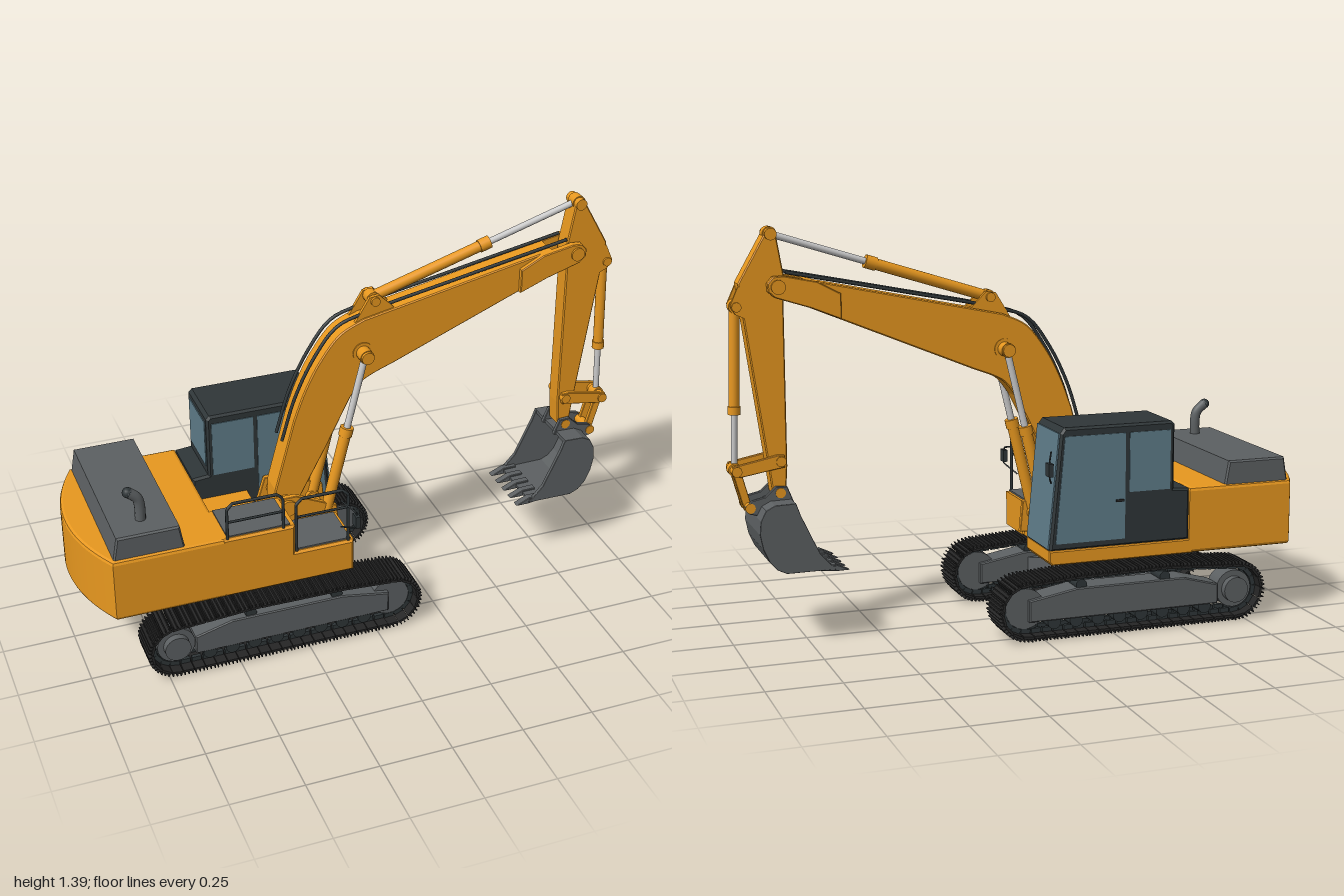
import * as THREE from 'three';
import { mergeGeometries } from 'three/addons/utils/BufferGeometryUtils.js';

const mat = (color) => new THREE.MeshStandardMaterial({ color });
const ORANGE = mat(0xe8981f), GREY = mat(0x5c6062), DARK = mat(0x2f3638), GLASS = mat(0x5f7d8a);
const STEEL = mat(0xbcbcbc), RUBBER = mat(0x262626);
const C = 0.017; // centre plane of the boom and undercarriage

function add(parent, name, geo, material, x = 0, y = 0, z = 0) {
  const m = new THREE.Mesh(geo, material);
  m.name = name;
  m.position.set(x, y, z);
  parent.add(m);
  return m;
}
const group = (parent, name) => {
  const g = new THREE.Group();
  g.name = name;
  parent.add(g);
  return g;
};
// box given by its limits
const box = (p, name, m, x0, x1, y0, y1, z0, z1) =>
  add(p, name, new THREE.BoxGeometry(x1 - x0, y1 - y0, z1 - z0), m, (x0 + x1) / 2, (y0 + y1) / 2, (z0 + z1) / 2);
const poly = (pts) => new THREE.Shape(pts.map(([x, y]) => new THREE.Vector2(x, y)));
// side profile extruded from z0 to z1, with a small bevel
function prism(p, name, m, shape, z0, z1, b = 0.004) {
  const s = Array.isArray(shape) ? poly(shape) : shape;
  const geo = new THREE.ExtrudeGeometry(s, {
    depth: z1 - z0 - 2 * b, bevelEnabled: b > 0, bevelSize: b, bevelThickness: b, bevelOffset: -b, bevelSegments: 1, curveSegments: 12,
  });
  return add(p, name, geo, m, 0, 0, z0 + b);
}
// cylinder along z
const pin = (p, name, m, x, y, r, z0, z1, seg = 20) =>
  add(p, name, new THREE.CylinderGeometry(r, r, z1 - z0, seg).rotateX(Math.PI / 2), m, x, y, (z0 + z1) / 2);
// cylinder between two points of one z plane
function bar(p, name, m, a, b, r, z) {
  const dx = b[0] - a[0], dy = b[1] - a[1];
  const mesh = add(p, name, new THREE.CylinderGeometry(r, r, Math.hypot(dx, dy), 16), m, (a[0] + b[0]) / 2, (a[1] + b[1]) / 2, z);
  mesh.rotation.z = Math.atan2(-dx, dy);
}
// hydraulic cylinder: barrel from a to mid, rod on to b, eyes at both ends
function ram(p, name, a, b, t, r, z) {
  const g = group(p, name), mid = [a[0] + (b[0] - a[0]) * t, a[1] + (b[1] - a[1]) * t];
  const cap = [a[0] + (b[0] - a[0]) * (t - 0.05), a[1] + (b[1] - a[1]) * (t - 0.05)];
  bar(g, 'barrel', ORANGE, a, mid, r, z);
  bar(g, 'barrelCollar', ORANGE, cap, mid, r * 1.2, z);
  bar(g, 'rod', STEEL, mid, b, r * 0.6, z);
  for (const e of [a, b]) pin(g, 'rodEye', ORANGE, e[0], e[1], r * 1.25, z - r, z + r);
}
// bent pipe through points with sharp corners
function pipe(p, name, m, pts, r) {
  const path = new THREE.CurvePath();
  const v = pts.map((q) => new THREE.Vector3(...q));
  for (let i = 1; i < v.length; i++) path.add(new THREE.LineCurve3(v[i - 1], v[i]));
  add(p, name, new THREE.TubeGeometry(path, (v.length - 1) * 8, r, 6), m);
}

function buildTrack(root, zc, side) {
  const g = group(root, side > 0 ? 'leftTrack' : 'rightTrack');
  const R = 0.09, ax = 0.06, bx = -0.715, cy = 0.105;
  const path = new THREE.Path();
  path.absarc(ax, cy, R, -Math.PI / 2, Math.PI / 2, false);
  path.lineTo(-0.12, 0.208);
  path.lineTo(-0.45, 0.212);
  path.lineTo(bx, cy + R);
  path.absarc(bx, cy, R, Math.PI / 2, Math.PI * 1.5, false);
  path.lineTo(ax, cy - R);
  // shoes with three ribs each, and chain links inside
  const N = 54, pts = path.getSpacedPoints(N).slice(0, N), shoes = [], links = [];
  pts.forEach((q, i) => {
    const n = pts[(i + 1) % N], o = pts[(i + N - 1) % N];
    const a = Math.atan2(n.y - o.y, n.x - o.x);
    const place = (list, geo) => list.push(geo.rotateZ(a).translate(q.x, q.y, zc));
    place(shoes, new THREE.BoxGeometry(0.037, 0.008, 0.14));
    for (const k of [-1, 0, 1]) place(shoes, new THREE.BoxGeometry(0.004, 0.013, 0.14).translate(k * 0.014, -0.0085, 0));
    for (const k of [-1, 1]) place(links, new THREE.BoxGeometry(0.033, 0.018, 0.014).translate(0, 0.011, k * 0.024));
  });
  add(g, 'trackShoes', mergeGeometries(shoes), RUBBER);
  add(g, 'trackLinks', mergeGeometries(links), DARK);
  // frame, sprocket, idler and rollers
  prism(g, 'trackFrame', GREY, [[-0.65, 0.06], [-0.65, 0.13], [-0.52, 0.165], [-0.12, 0.165], [0.05, 0.135], [0.05, 0.06]], zc - 0.048, zc + 0.048);
  pin(g, 'sprocket', GREY, bx, cy, 0.066, zc - 0.035, zc + 0.035, 28);
  pin(g, 'sprocketHub', GREY, bx, cy, 0.045, zc - 0.06, zc + 0.06, 28);
  pin(g, 'idler', GREY, ax, cy, 0.07, zc - 0.03, zc + 0.03, 28);
  for (let i = 0; i < 8; i++) pin(g, 'lowerRoller', DARK, -0.6 + i * 0.08, 0.053, 0.024, zc - 0.045, zc + 0.045, 14);
  for (const x of [-0.45, -0.14]) pin(g, 'carrierRoller', DARK, x, 0.173, 0.02, zc - 0.04, zc + 0.04, 14);
}

function buildUndercarriage(root) {
  const g = group(root, 'undercarriage'), cx = -0.325;
  for (const s of [1, -1]) {
    buildTrack(g, C + s * 0.258, s);
    for (const t of [1, -1]) {
      const leg = add(g, 'crossLeg', new THREE.BoxGeometry(0.1, 0.05, 0.27), GREY, cx + t * 0.1, 0.135, C + s * 0.135);
      leg.rotation.set(s * 0.15, s * t * 0.45, 0, 'YXZ');
    }
  }
  box(g, 'centreFrame', GREY, cx - 0.13, cx + 0.13, 0.115, 0.172, C - 0.15, C + 0.15);
  add(g, 'turntableBase', new THREE.CylinderGeometry(0.14, 0.14, 0.07, 40), GREY, cx, 0.195, C);
  add(g, 'turntableRing', new THREE.CylinderGeometry(0.156, 0.156, 0.02, 40), GREY, cx, 0.235, C);
  add(g, 'turntableNeck', new THREE.CylinderGeometry(0.13, 0.13, 0.025, 40), DARK, cx, 0.25, C);
}

function buildBody(root) {
  const g = group(root, 'upperBody');
  // rear body with a bowed counterweight
  const plan = new THREE.Shape();
  plan.moveTo(-0.525, 0.31);
  plan.lineTo(-0.91, 0.31);
  plan.quadraticCurveTo(-1.09, 0, -0.91, -0.31);
  plan.lineTo(-0.525, -0.31);
  const b = 0.012;
  const rear = new THREE.ExtrudeGeometry(plan, { depth: 0.23 - 2 * b, bevelSize: b, bevelThickness: b, bevelOffset: -b, bevelSegments: 2, curveSegments: 28 });
  add(g, 'counterweight', rear.rotateX(-Math.PI / 2), ORANGE, 0, 0.257 + b, 0);
  box(g, 'floorPlate', ORANGE, -0.54, -0.08, 0.257, 0.3, -0.1, 0.13);
  box(g, 'channelFloor', ORANGE, -0.54, -0.33, 0.29, 0.4, -0.09, 0.125);
  prism(g, 'cabBase', ORANGE, [[-0.54, 0.257], [-0.022, 0.257], [-0.012, 0.27], [-0.012, 0.307], [-0.54, 0.307]], -0.31, -0.085);
  prism(g, 'sideBox', ORANGE, [[-0.54, 0.257], [-0.075, 0.257], [-0.075, 0.38], [-0.285, 0.38], [-0.285, 0.487], [-0.54, 0.487]], 0.12, 0.31, 0.008);
  box(g, 'upperDeckPanel', GREY, -0.52, -0.3, 0.48, 0.492, 0.13, 0.298);
  box(g, 'stepPanel', GREY, -0.28, -0.085, 0.375, 0.386, 0.13, 0.298);
  prism(g, 'engineHood', GREY, [[-0.905, 0.48], [-0.89, 0.568], [-0.677, 0.568], [-0.662, 0.48]], -0.3, 0.297, 0.006);
  const ex = new THREE.CatmullRomCurve3([[-0.785, 0.56], [-0.785, 0.62], [-0.792, 0.65], [-0.825, 0.68]].map(([x, y]) => new THREE.Vector3(x, y, 0.205)));
  add(g, 'exhaustPipe', new THREE.TubeGeometry(ex, 16, 0.018, 14), GREY);
  add(g, 'exhaustCap', new THREE.SphereGeometry(0.0185, 14, 8), DARK, -0.822, 0.677, 0.205);
  // handrails
  for (const [x0, x1, y0, y1] of [[-0.52, -0.325, 0.485, 0.62], [-0.28, -0.095, 0.38, 0.585]]) {
    const z = 0.303, h = y1 - 0.07, k = 0.02;
    pipe(g, 'handrail', DARK, [[x0, y0, z], [x0, y1 - k, z], [x0 + k, y1, z], [x1 - k, y1, z], [x1, y1 - k, z], [x1, y0, z]], 0.0055);
    pipe(g, 'handrailMidBar', DARK, [[x0, h, z], [x1, h, z]], 0.0045);
  }
  // mirrors on wire brackets
  for (const [name, x, y, z0, z1] of [['rightMirror', 0.01, 0.6, -0.3, -0.366], ['leftMirror', -0.09, 0.5, 0.303, 0.37]]) {
    pipe(g, name + 'Bracket', DARK, [[x - 0.03, y + 0.045, z0], [x, y + 0.03, z1], [x, y - 0.03, z1], [x - 0.03, y - 0.06, z0]], 0.003);
    box(g, name, DARK, x - 0.008, x + 0.008, y - 0.022, y + 0.022, z1 - 0.016, z1 + 0.016);
  }
}

function buildCab(root) {
  const g = group(root, 'cab');
  prism(g, 'cabShell', DARK, [[-0.525, 0.305], [-0.014, 0.305], [-0.052, 0.705], [-0.066, 0.724], [-0.455, 0.724], [-0.467, 0.712], [-0.467, 0.49], [-0.525, 0.485]], -0.308, -0.086, 0.008);
  const door = [[-0.285, 0.33], [-0.034, 0.33], [-0.066, 0.695], [-0.285, 0.695]];
  const rearWin = [[-0.45, 0.49], [-0.3, 0.49], [-0.3, 0.695], [-0.45, 0.695]];
  for (const [z0, z1] of [[-0.311, -0.3], [-0.095, -0.083]]) {
    prism(g, 'doorGlass', GLASS, door, z0, z1, 0);
    prism(g, 'sideGlass', GLASS, rearWin, z0, z1, 0);
  }
  const tilt = Math.atan2(0.038, 0.4);
  add(g, 'windscreen', new THREE.BoxGeometry(0.008, 0.395, 0.205), GLASS, -0.0325, 0.508, -0.197).rotation.z = tilt;
  box(g, 'rearGlass', GLASS, -0.47, -0.46, 0.52, 0.695, -0.29, -0.105);
  box(g, 'doorHandle', RUBBER, -0.28, -0.25, 0.46, 0.468, -0.316, -0.305);
}

function buildBoom(root) {
  const g = group(root, 'boom');
  // foot brackets on the body
  for (const s of [-1, 1]) {
    prism(g, 'footBracket', ORANGE, [[-0.33, 0.28], [-0.275, 0.46], [-0.21, 0.46], [-0.06, 0.39], [-0.05, 0.28]], C + s * 0.075 - 0.01, C + s * 0.075 + 0.01, 0.002);
    ram(g, 'boomCylinder', [-0.1, 0.35], [0.048, 0.957], 0.56, 0.02, C + s * 0.07);
  }
  pin(g, 'footPin', ORANGE, -0.24, 0.42, 0.03, C - 0.095, C + 0.095);
  pin(g, 'cylinderFootPin', ORANGE, -0.1, 0.35, 0.018, C - 0.095, C + 0.095);
  pin(g, 'boomCylinderPin', ORANGE, 0.048, 0.957, 0.022, C - 0.1, C + 0.1);
  pin(g, 'boomCylinderBoss', ORANGE, 0.048, 0.957, 0.036, C - 0.05, C + 0.05);
  const v = (pts) => pts.map(([x, y]) => new THREE.Vector2(x, y));
  const s = new THREE.Shape();
  s.moveTo(-0.275, 0.4);
  s.lineTo(-0.272, 0.475);
  s.lineTo(-0.2, 0.74);
  s.splineThru(v([[-0.16, 0.845], [-0.107, 0.945], [-0.035, 1.035], [0.053, 1.078]]));
  s.lineTo(0.74, 1.22);
  s.lineTo(0.74, 1.132);
  s.lineTo(0.16, 0.893);
  s.splineThru(v([[0.09, 0.866], [0.045, 0.84], [0.005, 0.79]]));
  s.lineTo(-0.085, 0.61);
  s.lineTo(-0.205, 0.385);
  s.lineTo(-0.24, 0.375);
  prism(g, 'boomBeam', ORANGE, s, C - 0.046, C + 0.046);
  for (const k of [-1, 1]) {
    prism(g, 'boomFork', ORANGE, [[0.62, 1.17], [0.7, 1.212], [0.81, 1.234], [0.845, 1.232], [0.864, 1.21], [0.862, 1.183], [0.84, 1.163], [0.72, 1.125], [0.62, 1.085]], C + k * 0.05 - 0.013, C + k * 0.05 + 0.013, 0.003);
    // hoses along the top edge
    const hose = new THREE.CatmullRomCurve3([[-0.24, 0.66], [-0.19, 0.82], [-0.12, 0.96], [-0.04, 1.06], [0.06, 1.095], [0.4, 1.165], [0.8, 1.243]].map(([x, y]) => new THREE.Vector3(x, y, C + k * 0.03)));
    add(g, 'hose', new THREE.TubeGeometry(hose, 50, 0.006, 8), DARK);
    prism(g, 'armCylinderBracket', ORANGE, [[0.02, 1.06], [0.075, 1.15], [0.11, 1.155], [0.17, 1.095]], C + k * 0.03 - 0.006, C + k * 0.03 + 0.006, 0);
  }
  pin(g, 'armPin', ORANGE, 0.829, 1.198, 0.024, C - 0.07, C + 0.07);
  pin(g, 'armCylinderPin', ORANGE, 0.095, 1.135, 0.016, C - 0.045, C + 0.045);
  ram(g, 'armCylinder', [0.095, 1.135], [0.845, 1.368], 0.57, 0.019, C);
}

function buildArm(root) {
  const g = group(root, 'arm');
  prism(g, 'armBeam', ORANGE, [[0.806, 0.6], [0.806, 1.15], [0.797, 1.2], [0.826, 1.365], [0.838, 1.386], [0.858, 1.38], [0.955, 1.21], [0.945, 1.13], [0.87, 0.61], [0.857, 0.51], [0.835, 0.497], [0.812, 0.51]], C - 0.034, C + 0.034);
  pin(g, 'topPin', ORANGE, 0.845, 1.368, 0.02, C - 0.04, C + 0.04);
  pin(g, 'bucketCylinderPin', ORANGE, 0.962, 1.135, 0.016, C - 0.04, C + 0.04);
  for (const k of [-1, 1]) {
    const z = C + k * 0.042;
    prism(g, 'cylinderEar', ORANGE, [[0.92, 1.09], [0.925, 1.2], [0.955, 1.2], [0.982, 1.14], [0.965, 1.11]], C + k * 0.028 - 0.006, C + k * 0.028 + 0.006, 0);
    prism(g, 'guideLink', ORANGE, [[0.818, 0.6], [0.818, 0.64], [0.84, 0.642], [0.99, 0.612], [0.992, 0.582], [0.965, 0.575]], z - 0.008, z + 0.008, 0.002);
    prism(g, 'bucketLink', ORANGE, [[0.963, 0.6], [0.992, 0.6], [0.953, 0.46], [0.925, 0.46]], z - 0.018 * k - 0.008, z - 0.018 * k + 0.008, 0.002);
  }
  for (const [x, y] of [[0.83, 0.62], [0.978, 0.595], [0.937, 0.47], [0.835, 0.515]]) pin(g, 'linkPin', ORANGE, x, y, 0.017, C - 0.055, C + 0.055);
  ram(g, 'bucketCylinder', [0.962, 1.135], [0.978, 0.595], 0.66, 0.018, C);
}

function buildBucket(root) {
  const g = group(root, 'bucket'), W = 0.124;
  const outer = [[0.67, 0.258], [0.835, 0.257], [0.867, 0.272], [0.892, 0.3], [0.912, 0.345], [0.922, 0.395], [0.918, 0.44], [0.9, 0.475], [0.87, 0.49], [0.8, 0.492]];
  const inner = [[0.8, 0.478], [0.86, 0.476], [0.888, 0.463], [0.904, 0.435], [0.908, 0.395], [0.898, 0.348], [0.88, 0.308], [0.858, 0.284], [0.832, 0.271], [0.67, 0.268]];
  prism(g, 'bucketShell', GREY, [...outer, ...inner], C - W, C + W, 0);
  for (const k of [-1, 1]) {
    const z = C + k * (W - 0.006), e = C + k * 0.045;
    prism(g, 'bucketSide', GREY, [...outer, [0.785, 0.45], [0.722, 0.315]], z - 0.007, z + 0.007, 0.001);
    prism(g, 'bucketEar', GREY, [[0.79, 0.48], [0.812, 0.535], [0.85, 0.537], [0.885, 0.505], [0.93, 0.495], [0.955, 0.475], [0.94, 0.45], [0.9, 0.44]], e - 0.008, e + 0.008, 0.002);
  }
  for (let i = -2; i <= 2; i++) {
    const z = C + i * 0.054;
    prism(g, 'bucketTooth', GREY, [[0.622, 0.251], [0.665, 0.25], [0.72, 0.256], [0.72, 0.275], [0.67, 0.274]], z - 0.013, z + 0.013, 0.002);
  }
}

export function createModel() {
  const root = new THREE.Group();
  root.name = 'excavator';
  [buildUndercarriage, buildBody, buildCab, buildBoom, buildArm, buildBucket].forEach((build) => build(root));
  return root;
}
